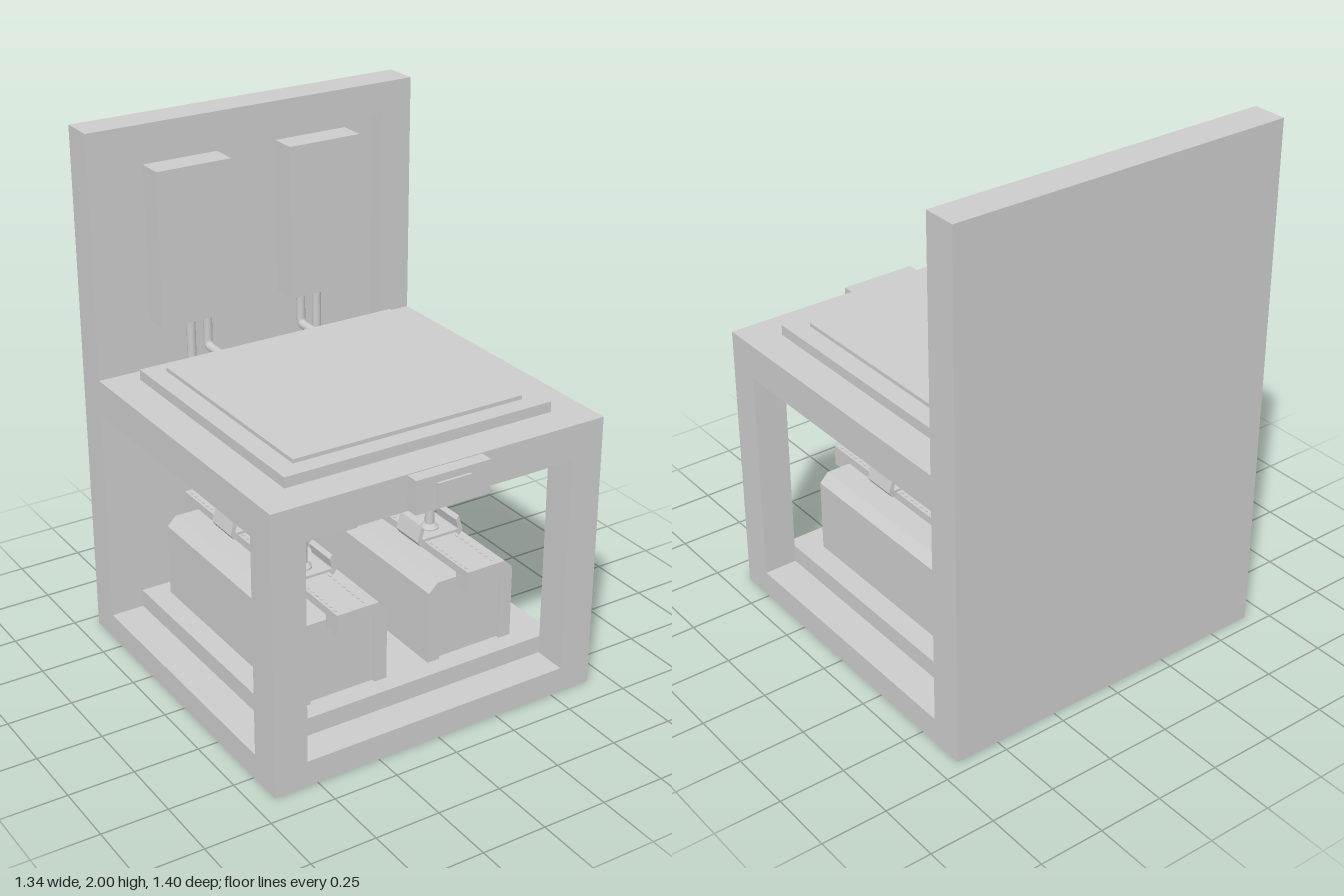
import * as THREE from 'three';

const material = new THREE.MeshStandardMaterial({ color: 0xcccccc });

function add(parent, name, geometry) {
  const mesh = new THREE.Mesh(geometry, material);
  mesh.name = name;
  parent.add(mesh);
  return mesh;
}

// Box given by its limits on each axis
function box(parent, name, x0, x1, y0, y1, z0, z1) {
  const mesh = add(parent, name, new THREE.BoxGeometry(x1 - x0, y1 - y0, z1 - z0));
  mesh.position.set((x0 + x1) / 2, (y0 + y1) / 2, (z0 + z1) / 2);
  return mesh;
}

const polygon = (points) => new THREE.Shape(points.map(([x, y]) => new THREE.Vector2(x, y)));

// Front-view outline extruded from z0 to z1
function prism(parent, name, shape, z0, z1) {
  const geometry = new THREE.ExtrudeGeometry(shape, { depth: z1 - z0, bevelEnabled: false });
  geometry.translate(0, 0, z0);
  return add(parent, name, geometry);
}

function rect(x0, x1, y0, y1) {
  return polygon([[x0, y0], [x1, y0], [x1, y1], [x0, y1]]);
}

// Pipe leaving a part backwards and bending up inside the back recess
function pipe(parent, name, x, y, z, top) {
  const path = new THREE.CurvePath();
  const v = (a, b) => new THREE.Vector3(x, a, b);
  const back = -0.604, r = 0.03;
  path.add(new THREE.LineCurve3(v(y, z), v(y, back + r)));
  path.add(new THREE.QuadraticBezierCurve3(v(y, back + r), v(y, back), v(y + r, back)));
  path.add(new THREE.LineCurve3(v(y + r, back), v(top, back)));
  add(parent, name, new THREE.TubeGeometry(path, 60, 0.017, 12));
}

// Arch-shaped machine housing with a recessed core
function buildHousing(parent) {
  const outline = polygon([
    [-0.183, 0.17], [-0.133, 0.17], [-0.133, 0.44], [0.133, 0.44], [0.133, 0.17], [0.183, 0.17],
    [0.183, 0.455], [0.148, 0.49], [-0.148, 0.49], [-0.183, 0.455],
  ]);
  prism(parent, 'housingShell', outline, -0.5, 0.44);
  box(parent, 'housingCore', -0.133, 0.133, 0.17, 0.44, -0.485, 0.425);
}

// Bridge-like track lying over the housing, with small teeth along both edges
function buildTrack(parent) {
  const side = polygon([
    [-0.57, 0.46], [-0.5, 0.46], [-0.5, 0.51], [0.44, 0.51],
    [0.44, 0.46], [0.51, 0.46], [0.51, 0.54], [-0.57, 0.54],
  ]);
  const geometry = new THREE.ExtrudeGeometry(side, { depth: 0.136, bevelEnabled: false });
  geometry.translate(0, 0, -0.068);
  geometry.rotateY(-Math.PI / 2);
  add(parent, 'track', geometry);
  const teeth = new THREE.Group();
  teeth.name = 'trackTeeth';
  parent.add(teeth);
  for (const x of [-0.055, 0.055]) {
    for (let i = 0; i < 35; i++) {
      const z = -0.54 + i * 0.03;
      box(teeth, 'tooth', x - 0.004, x + 0.004, 0.538, 0.543, z - 0.006, z + 0.006);
    }
  }
}

// U-shaped rail under the seat with a recessed filling
function buildRail(parent) {
  const outline = polygon([
    [-0.068, 0.946], [-0.068, 0.823], [-0.055, 0.81], [0.055, 0.81], [0.068, 0.823], [0.068, 0.946],
    [0.048, 0.946], [0.048, 0.83], [-0.048, 0.83], [-0.048, 0.946],
  ]);
  prism(parent, 'railChannel', outline, -0.5, 0.44);
  box(parent, 'railCore', -0.048, 0.048, 0.83, 0.946, -0.485, 0.425);
}

// Vertical rod with end flanges and a gripping saddle
function buildClamp(parent, z) {
  const clamp = new THREE.Group();
  clamp.name = 'clamp';
  clamp.position.z = z;
  parent.add(clamp);
  const profile = [
    [0, 0.54], [0.034, 0.54], [0.034, 0.555], [0.022, 0.57], [0.018, 0.57],
    [0.018, 0.785], [0.028, 0.795], [0.028, 0.81], [0, 0.81],
  ].map(([r, y]) => new THREE.Vector2(r, y));
  // Doubled points keep the steps of the turned rod crisp
  const crisp = profile.flatMap((p) => [p, p.clone()]).slice(1, -1);
  const rod = new THREE.Group();
  rod.name = 'rod';
  clamp.add(rod);
  for (let i = 0; i < crisp.length; i += 2) {
    add(rod, 'rodSection', new THREE.LatheGeometry([crisp[i], crisp[i + 1]], 24));
  }
  box(clamp, 'saddlePlate', -0.075, 0.075, 0.538, 0.55, -0.068, 0.068);
  // Hooked jaws on both sides of the track
  for (const s of [-1, 1]) {
    const points = [
      [0.066, 0.525], [0.087, 0.525], [0.1, 0.545], [0.082, 0.605],
      [0.07, 0.59], [0.08, 0.552], [0.075, 0.541], [0.066, 0.541],
    ];
    prism(clamp, 'jaw', polygon(points.map(([x, y]) => [s * x, y])), -0.068, 0.068);
  }
}

export function createModel() {
  const model = new THREE.Group();
  model.name = 'machineCabinet';

  // Tall back: solid sheet with a raised border
  const border = rect(-0.67, 0.67, 0, 2);
  border.holes.push(rect(-0.54, 0.54, 0.1, 1.885));
  prism(model, 'backBorder', border, -0.64, -0.57);
  box(model, 'backSheet', -0.67, 0.67, 0, 2, -0.7, -0.64);

  // Base ring, open below, with the floor on top
  const base = new THREE.Shape([[-0.67, -0.64], [0.67, -0.64], [0.67, 0.57], [-0.67, 0.57]]
    .map(([x, y]) => new THREE.Vector2(x, y)));
  base.holes.push(rect(-0.54, 0.54, -0.51, 0.57 - 0.002));
  const ring = new THREE.ExtrudeGeometry(base, { depth: 0.1, bevelEnabled: false });
  ring.rotateX(-Math.PI / 2);
  add(model, 'baseRing', ring);
  box(model, 'floor', -0.54, 0.54, 0.1, 0.17, -0.57, 0.51);

  // Front posts and table top
  for (const s of [-1, 1]) {
    box(model, 'frontPost', s * 0.605 - 0.065, s * 0.605 + 0.065, 0.1, 0.945, 0.51, 0.64);
  }
  box(model, 'tableTop', -0.67, 0.67, 0.945, 1.08, -0.57, 0.64);
  box(model, 'topSlab', -0.54, 0.54, 1.08, 1.12, -0.5, 0.51);
  box(model, 'topPlate', -0.465, 0.465, 1.12, 1.135, -0.435, 0.44);

  // Control panel on the front edge
  box(model, 'controlBox', -0.15, 0.15, 0.95, 1.077, 0.64, 0.69);
  const rim = rect(-0.068, 0.068, 0.978, 1.05);
  prism(model, 'controlDisplay', rim, 0.69, 0.7);

  // Two identical mirrored machine lines
  for (const s of [-1, 1]) {
    const line = new THREE.Group();
    line.name = s > 0 ? 'leftMachine' : 'rightMachine';
    line.position.x = s * 0.272;
    model.add(line);
    buildHousing(line);
    buildTrack(line);
    buildRail(line);
    buildClamp(line, 0.175);
    buildClamp(line, -0.232);
    box(line, 'wallUnit', -0.15, 0.15, 1.24, 1.83, -0.64, -0.537);
    pipe(line, 'upperPipe', -s * 0.07, 1.099, -0.49, 1.25);
    pipe(line, 'lowerPipe', 0, 0.88, -0.48, 1.25);
  }
  return model;
}
